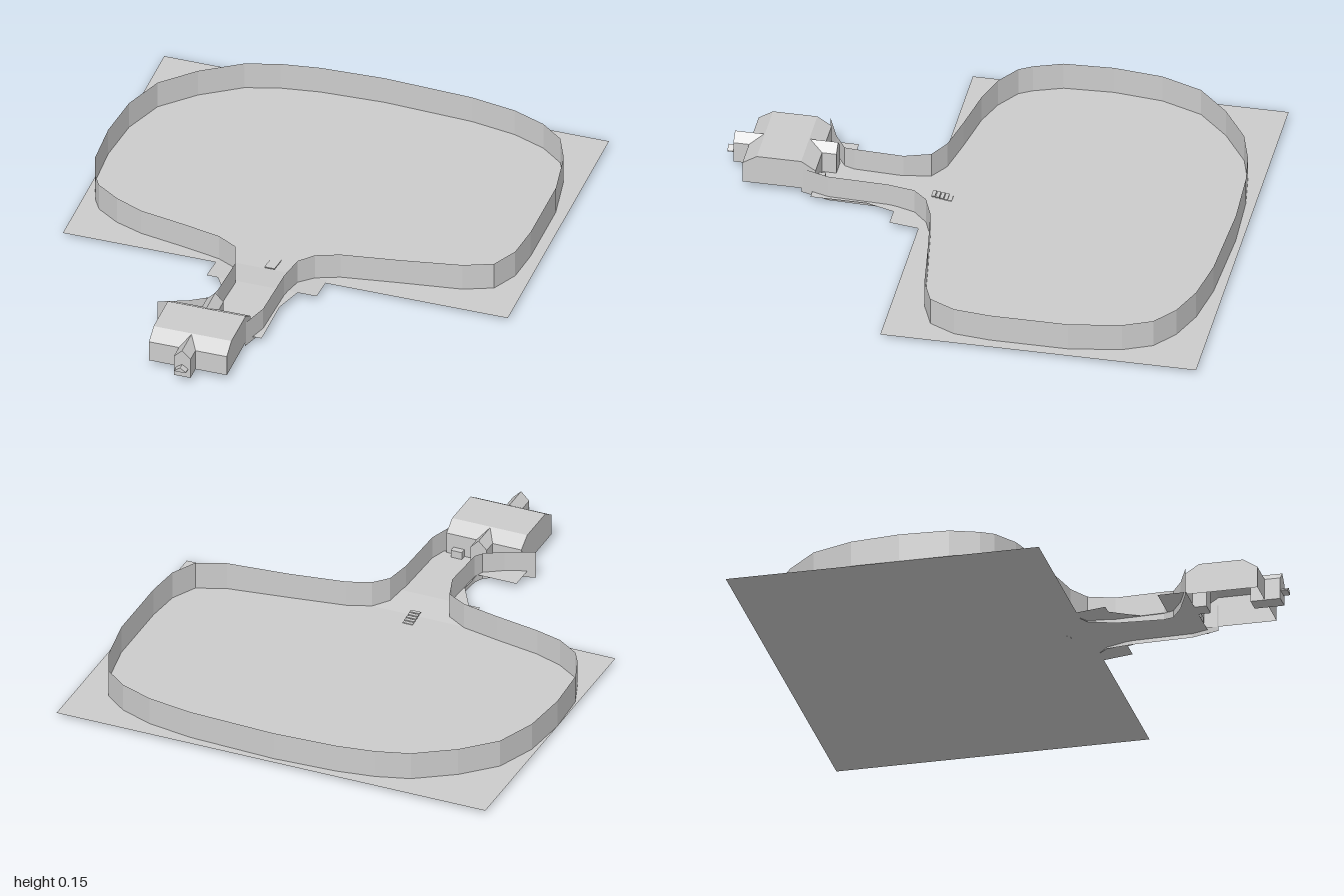
import * as THREE from 'three';

const concrete = new THREE.MeshStandardMaterial({ color: 0xcccccc, side: THREE.DoubleSide, flatShading: true });
concrete.name = 'pale grey';

function add(group, name, geometry) {
  const mesh = new THREE.Mesh(geometry, concrete);
  mesh.name = name;
  group.add(mesh);
  return mesh;
}

// Thin faces from a list of four-cornered polygons
function quads(list) {
  const positions = [];
  for (const [a, b, c, d] of list) positions.push(...a, ...b, ...c, ...a, ...c, ...d);
  const g = new THREE.BufferGeometry();
  g.setAttribute('position', new THREE.Float32BufferAttribute(positions, 3));
  g.computeVertexNormals();
  return g;
}

// Flat outline in x, z with its height given by a rule
function sheet(points, height) {
  const g = new THREE.ShapeGeometry(new THREE.Shape(points.map(([x, z]) => new THREE.Vector2(x, -z))));
  g.rotateX(-Math.PI / 2);
  const p = g.attributes.position;
  for (let i = 0; i < p.count; i++) p.setY(i, height(p.getZ(i)));
  g.computeVertexNormals();
  return g;
}

// Gable-roofed block running along z
function gable(x, half, base, eaves, ridge, z0, z1) {
  const s = new THREE.Shape([[-half, base], [half, base], [half, eaves], [0, ridge], [-half, eaves]]
    .map(([u, v]) => new THREE.Vector2(u, v)));
  const g = new THREE.ExtrudeGeometry(s, { depth: z1 - z0, bevelEnabled: false });
  return g.translate(x, 0, z0);
}

export function createModel() {
  const model = new THREE.Group();
  model.name = 'walledBasin';

  // Broad ground plate
  add(model, 'groundPlate', sheet([[-0.88, -1], [-0.88, 0.21], [0.88, 0.21], [0.88, -1]], () => 0.014));

  // Neck floor: a ramp with side flanges, then a level apron
  const rise = z => 0.014 + 0.014 * Math.min(1, Math.max(0, (z - 0.19) / 0.13));
  add(model, 'neckRamp', sheet([[-0.275, 0.19], [-0.275, 0.32], [0.16, 0.32], [0.16, 0.19]], rise));
  add(model, 'neckFloor', sheet([[-0.23, 0.32], [-0.165, 0.43], [-0.17, 0.535], [-0.33, 0.535],
    [-0.33, 0.645], [0.05, 0.645], [0.05, 0.43], [0.085, 0.32]], rise));

  // Perimeter wall following the shore: x, z
  const path = [
    [0, 0.69], [0.035, 0.58], [0.042, 0.35], [0.06, 0.245], [0.11, 0.19], [0.2, 0.155], [0.42, 0.12],
    [0.66, 0.085], [0.77, 0.04], [0.82, -0.06], [0.835, -0.2], [0.835, -0.5], [0.8, -0.7],
    [0.75, -0.81], [0.66, -0.88], [0.53, -0.93], [0.35, -0.96], [0, -0.975], [-0.25, -0.963],
    [-0.4, -0.94], [-0.53, -0.9], [-0.68, -0.8], [-0.8, -0.68], [-0.86, -0.52], [-0.88, -0.33],
    [-0.87, -0.14], [-0.83, -0.03], [-0.8, 0.02], [-0.71, 0.08], [-0.6, 0.12], [-0.42, 0.153],
    [-0.27, 0.185], [-0.19, 0.23], [-0.157, 0.33], [-0.165, 0.52], [-0.18, 0.56], [-0.25, 0.605], [-0.36, 0.65],
  ];
  const low = ([x, z]) => (z < 0.3 ? 0.014 : x > -0.1 ? 0.012 : Math.max(0, 0.014 - (z - 0.3) * 0.055));
  const high = ([x, z]) => (z < 0.1 ? 0.125 : x < -0.17 && z > 0.5 ? 0.11 : 0.118);
  const at = (p, y) => [p[0], y, p[1]];
  const panels = [];
  for (let i = 0; i + 1 < path.length; i++) {
    const a = path[i], b = path[i + 1];
    panels.push([at(a, low(a)), at(a, high(a)), at(b, high(b)), at(b, low(b))]);
  }
  add(model, 'perimeterWall', quads(panels));

  // Gatehouse shell with sloping front and back roof, open below
  const gatehouse = new THREE.Group();
  gatehouse.name = 'gatehouse';
  model.add(gatehouse);
  const profile = [[0.635, 0.03], [0.635, 0.115], [0.69, 0.15], [0.86, 0.15], [0.915, 0.115], [0.915, 0.03]];
  const L = -0.306, R = 0.002;
  const corner = (x, i) => [x, profile[i][1], profile[i][0]];
  const shell = [];
  for (let i = 0; i < 5; i++) shell.push([corner(R, i), corner(R, i + 1), corner(L, i + 1), corner(L, i)]);
  shell.push([0, 5, 4, 1].map(i => corner(R, i)), [1, 4, 3, 2].map(i => corner(R, i)));
  shell.push([0, 1, 4, 5].map(i => corner(L, i)), [1, 2, 3, 4].map(i => corner(L, i)));
  add(gatehouse, 'shell', quads(shell));

  // Gabled porches at front and back, with a small canopy in front
  add(gatehouse, 'backPorch', gable(-0.155, 0.033, 0.03, 0.115, 0.148, 0.58, 0.69));
  add(gatehouse, 'frontPorch', gable(-0.155, 0.033, 0.03, 0.115, 0.148, 0.86, 0.975));
  add(gatehouse, 'frontCanopy', gable(-0.155, 0.023, 0.066, 0.069, 0.085, 0.975, 1));
  add(gatehouse, 'sideStep', new THREE.BoxGeometry(0.045, 0.03, 0.03)).position.set(-0.05, 0.045, 0.625);

  // Small flight of steps at the foot of the ramp
  for (let i = 0; i < 5; i++) {
    add(model, 'step', new THREE.BoxGeometry(0.04, 0.004, 0.014)).position.set(-0.065, 0.015 + i * 0.003, 0.13 + i * 0.016);
  }
  return model;
}
